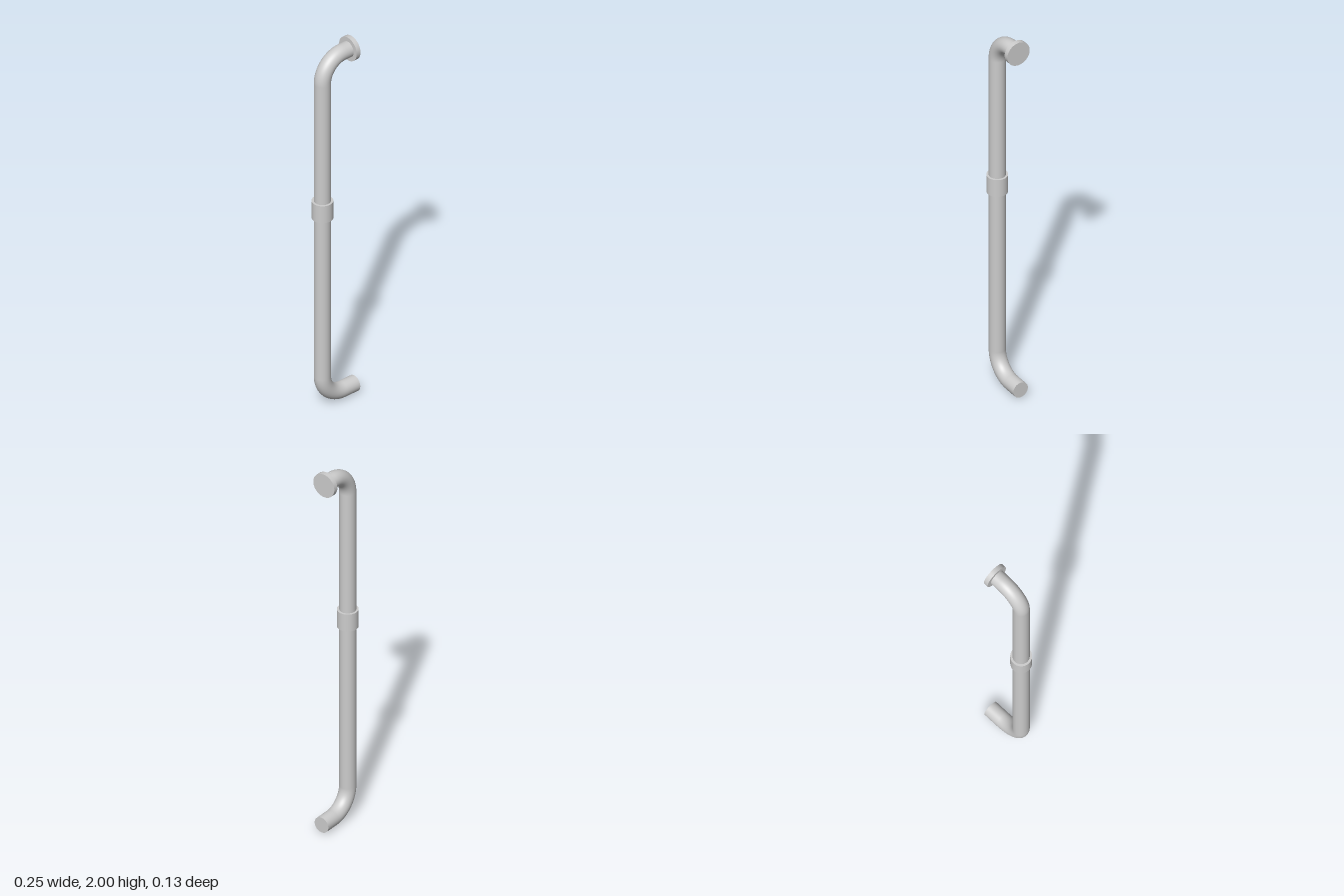
import * as THREE from 'three';

const material = new THREE.MeshStandardMaterial({ color: 0xcccccc });
const V = (x, y) => new THREE.Vector3(x, y, 0);

const R = 0.041;        // pipe radius
const X = -0.076;       // axis of the upright
const BEND = 0.125;     // bend radius on the centre line
const LOW = { x: 0.127, y: 0.042 };
const HIGH = { x: 0.09, y: 1.937 };

function addMesh(group, name, geometry) {
  const mesh = new THREE.Mesh(geometry, material);
  mesh.name = name;
  group.add(mesh);
  return mesh;
}

// Quarter bend between two points whose tangents meet at a corner
function bend(from, corner, to) {
  const k = 0.5523;
  return new THREE.CubicBezierCurve3(
    from, from.clone().lerp(corner, k), to.clone().lerp(corner, k), to);
}

export function createModel() {
  const group = new THREE.Group();
  group.name = 'bentPipe';

  // Pipe: lower arm, bend, upright, bend, upper arm
  const lowArm = V(X + BEND, LOW.y), lowUp = V(X, LOW.y + BEND);
  const highUp = V(X, HIGH.y - BEND), highArm = V(X + BEND, HIGH.y);
  const sections = [
    ['lowerArm', new THREE.LineCurve3(V(LOW.x, LOW.y), lowArm), 1],
    ['lowerBend', bend(lowArm, V(X, LOW.y), lowUp), 16],
    ['upright', new THREE.LineCurve3(lowUp, highUp), 1],
    ['upperBend', bend(highUp, V(X, HIGH.y), highArm), 16],
    ['upperArm', new THREE.LineCurve3(highArm, V(HIGH.x, HIGH.y)), 1],
  ];
  for (const [name, curve, steps] of sections) {
    addMesh(group, name, new THREE.TubeGeometry(curve, steps, R, 48));
  }

  // Flat end of the lower arm
  const cap = addMesh(group, 'lowerEndCap', new THREE.CircleGeometry(R, 48));
  cap.rotation.y = Math.PI / 2;
  cap.position.set(LOW.x, LOW.y, 0);

  // Wall flange on the upper arm
  const flange = addMesh(group, 'flange', new THREE.CylinderGeometry(0.063, 0.063, 0.024, 48));
  flange.rotation.z = Math.PI / 2;
  flange.position.set(0.097, HIGH.y, 0);

  // Joining collar on the upright
  const collar = addMesh(group, 'collar', new THREE.CylinderGeometry(0.052, 0.052, 0.095, 48));
  collar.position.set(X, 1.106, 0);

  return group;
}
